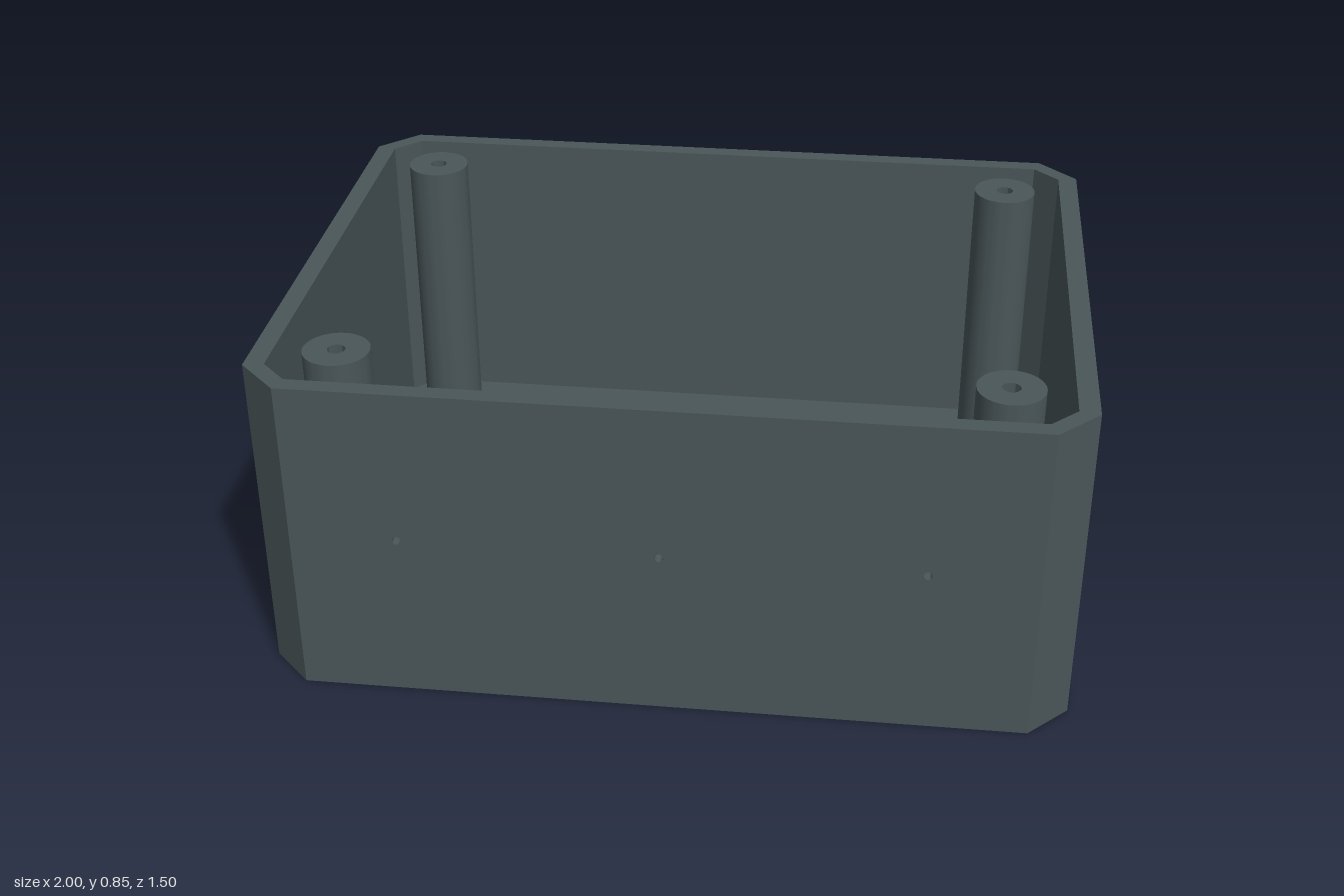
import * as THREE from 'three';
import { toCreasedNormals } from 'three/addons/utils/BufferGeometryUtils.js';

const HEIGHT = 0.85, FLOOR = 0.05;
const OUT_X = 1, OUT_Z = 0.75, OUT_CUT = 0.1;
const IN_X = 0.95, IN_Z = 0.705, IN_CUT = 0.065;

// Corner points of a chamfered rectangle, from front left around the back to front right
function chamferedPoints(x, z, cut) {
  const left = [[x - cut, z], [x, z - cut], [x, cut - z], [x - cut, -z]];
  const right = left.map(([px, pz]) => [-px, pz]).reverse();
  return [...left, ...right];
}

// Plan outlines use (x, -z) so that the extrusion can be turned upright
function planShape(points) {
  return new THREE.Shape(points.map(([x, z]) => new THREE.Vector2(x, -z)));
}

function circleHole(x, y, r) {
  return new THREE.Path().absarc(x, y, r, 0, Math.PI * 2, true);
}

function extrude(shape, depth) {
  const geometry = new THREE.ExtrudeGeometry(shape, { depth, bevelEnabled: false, curveSegments: 32 });
  return toCreasedNormals(geometry, 0.5);
}

export function createModel() {
  const model = new THREE.Group();
  model.name = 'enclosure';
  const plastic = new THREE.MeshStandardMaterial({ color: 0x4a5659 });
  plastic.name = 'dark slate plastic';

  function add(name, geometry) {
    const mesh = new THREE.Mesh(geometry, plastic);
    mesh.name = name;
    model.add(mesh);
    return mesh;
  }

  const outer = chamferedPoints(OUT_X, OUT_Z, OUT_CUT);
  const inner = chamferedPoints(IN_X, IN_Z, IN_CUT);
  const panelX = OUT_X - OUT_CUT;

  // Side, back and corner walls, open where the front panel sits
  const wallPlan = planShape([...outer, [-panelX, IN_Z], ...inner.slice().reverse(), [panelX, IN_Z]]);
  add('sideAndBackWalls', extrude(wallPlan, HEIGHT).rotateX(-Math.PI / 2));

  // Front panel with three small drilled holes
  const panel = new THREE.Shape([
    new THREE.Vector2(-panelX, 0), new THREE.Vector2(panelX, 0),
    new THREE.Vector2(panelX, HEIGHT), new THREE.Vector2(-panelX, HEIGHT),
  ]);
  for (const x of [-0.635, 0, 0.635]) panel.holes.push(circleHole(x, 0.445, 0.011));
  add('frontPanel', extrude(panel, OUT_Z - IN_Z).translate(0, 0, IN_Z));

  // Floor inside the walls
  add('floor', extrude(planShape(inner), FLOOR).rotateX(-Math.PI / 2));

  // Hollow screw posts in the four corners, flush with the rim
  const ring = new THREE.Shape().absarc(0, 0, 0.082, 0, Math.PI * 2, false);
  ring.holes.push(circleHole(0, 0, 0.022));
  const postGeometry = extrude(ring, HEIGHT - FLOOR).rotateX(-Math.PI / 2);
  for (const x of [-0.8, 0.8]) {
    for (const z of [-0.55, 0.55]) {
      add(`${z > 0 ? 'front' : 'back'}${x > 0 ? 'Left' : 'Right'}ScrewPost`, postGeometry)
        .position.set(x, FLOOR, z);
    }
  }
  return model;
}
